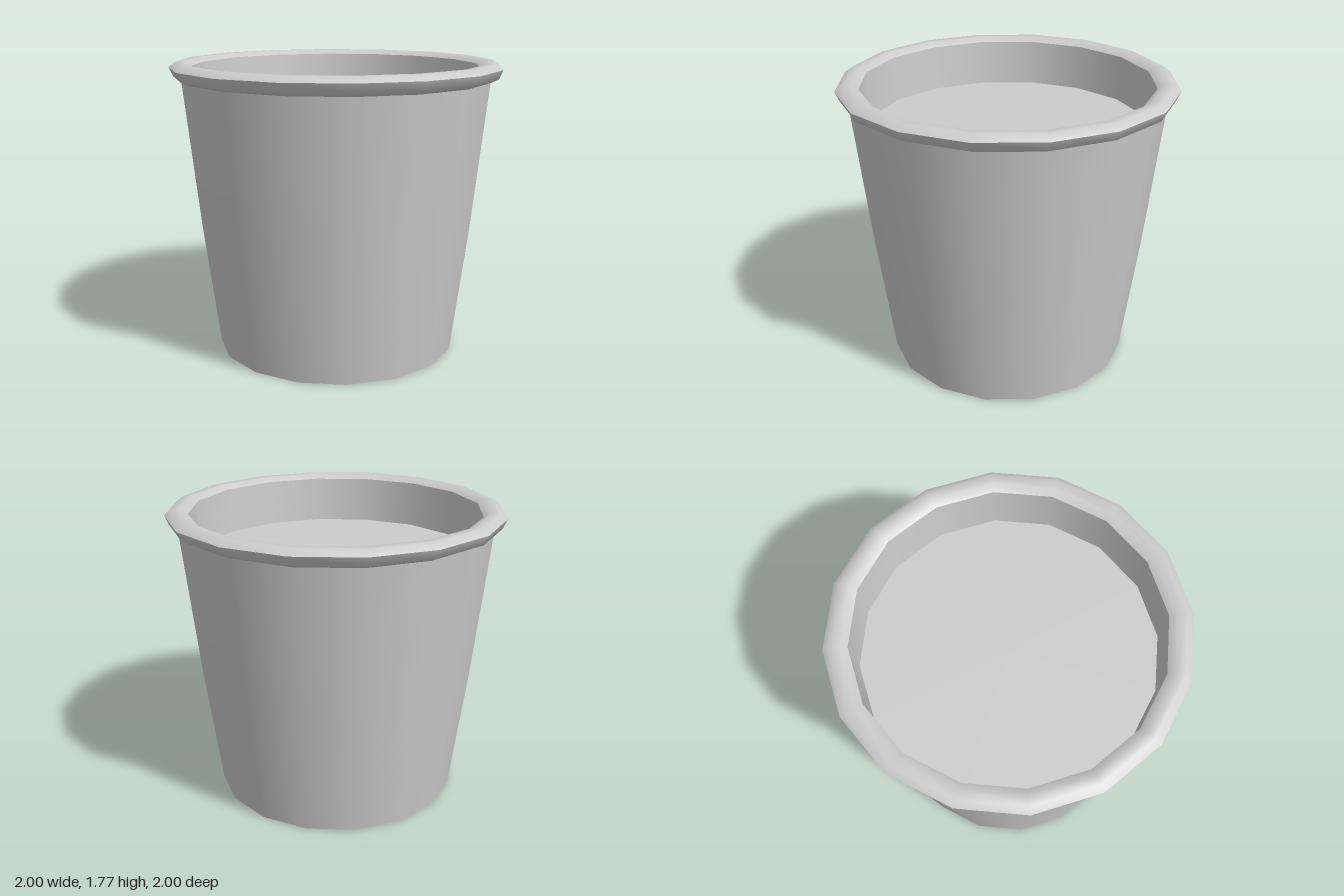
import * as THREE from 'three';

const SIDES = 16;

export function createModel() {
  const group = new THREE.Group();
  group.name = 'pot';

  const grey = new THREE.MeshStandardMaterial({ color: 0xcccccc });
  grey.name = 'plain grey';

  // Each part is a smooth ring of revolution; edges between parts stay sharp
  const addPart = (name, profile) => {
    const points = profile.map(([r, y]) => new THREE.Vector2(r, y));
    const mesh = new THREE.Mesh(new THREE.LatheGeometry(points, SIDES), grey);
    mesh.name = name;
    group.add(mesh);
  };

  // Underside: recessed base and the short foot wall around it
  addPart('base', [[0, 0.06], [0.715, 0.06]]);
  addPart('footInside', [[0.715, 0.06], [0.735, 0]]);

  // Tapered outer wall
  addPart('outerWall', [[0.74, 0], [0.834, 0.75], [0.93, 1.67]]);

  // Rolled rim: under side, then the top from the outer edge inwards
  addPart('rimUnderside', [[0.93, 1.665], [0.975, 1.685], [1, 1.74]]);
  addPart('rimTop', [[1, 1.74], [0.96, 1.77], [0.905, 1.77], [0.865, 1.745]]);

  // Inside wall down to the flat filling
  addPart('innerWall', [[0.865, 1.745], [0.845, 1.47]]);
  addPart('filling', [[0.845, 1.47], [0, 1.47]]);

  return group;
}
